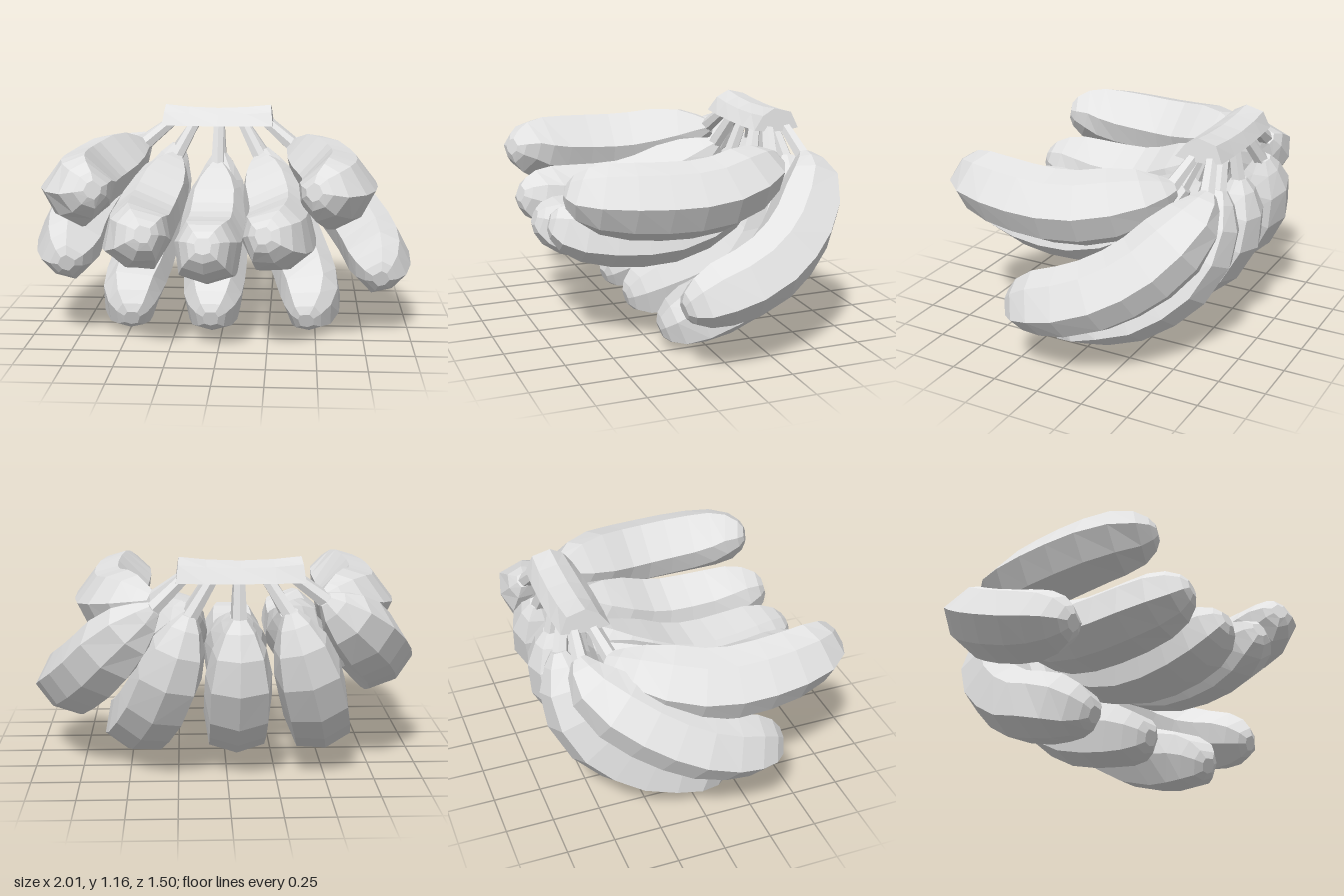
import * as THREE from 'three';

const skin = new THREE.MeshStandardMaterial({ color: 0xe2e2e2 });
skin.name = 'pale grey';

// Skin a list of rings (counter-clockwise about the travel direction) and cap both ends
function loft(rings, name) {
  const pos = [];
  const tri = (...pts) => pts.forEach((p) => pos.push(p.x, p.y, p.z));
  const n = rings[0].length;
  const middle = (r) => r.reduce((s, p) => s.add(p), new THREE.Vector3()).divideScalar(n);
  const first = rings[0], last = rings[rings.length - 1];
  const c0 = middle(first), c1 = middle(last);
  for (let j = 0; j < n; j++) {
    const k = (j + 1) % n;
    for (let i = 0; i < rings.length - 1; i++) {
      const a = rings[i], b = rings[i + 1];
      tri(a[j], a[k], b[k]);
      tri(a[j], b[k], b[j]);
    }
    tri(c0, first[k], first[j]);
    tri(c1, last[j], last[k]);
  }
  const geo = new THREE.BufferGeometry();
  geo.setAttribute('position', new THREE.Float32BufferAttribute(pos, 3));
  geo.computeVertexNormals(); // unshared corners give flat facets
  const mesh = new THREE.Mesh(geo, skin);
  mesh.name = name;
  return mesh;
}

// Fruit cross-section: flat on the inside of the bend, keeled on the outside
const SECTION = [[-0.11, 0.16], [-0.172, 0.045], [-0.145, -0.13], [0, -0.175],
  [0.145, -0.13], [0.172, 0.045], [0.11, 0.16]];
// [position along the fruit, thickness]
const TAPER = [[0, 0.22], [0.05, 0.48], [0.13, 0.78], [0.25, 0.97], [0.38, 1], [0.5, 1],
  [0.62, 1], [0.74, 0.98], [0.85, 0.91], [0.93, 0.73], [0.98, 0.47], [1, 0.24]];

function fruit(path, stemTop, rollDeg, lean, name) {
  const group = new THREE.Group();
  group.name = name;
  const curve = new THREE.CatmullRomCurve3(path.map((p) => new THREE.Vector3(...p)));
  const roll = THREE.MathUtils.degToRad(rollDeg);
  const hint = new THREE.Vector3(-Math.sin(roll), Math.cos(roll), lean);
  const rings = TAPER.map(([t, s]) => {
    const p = curve.getPointAt(t), dir = curve.getTangentAt(t);
    const up = hint.clone().addScaledVector(dir, -hint.dot(dir)).normalize();
    const side = new THREE.Vector3().crossVectors(up, dir);
    return SECTION.map(([x, y]) => p.clone().addScaledVector(side, x * s).addScaledVector(up, y * s));
  });
  group.add(loft(rings, 'fruitBody'));

  // Thin stem joining the fruit to the crown
  const from = curve.getPointAt(0.03), to = new THREE.Vector3(...stemTop);
  const axis = to.clone().sub(from);
  const stem = new THREE.Mesh(
    new THREE.CylinderGeometry(0.03, 0.042, axis.length(), 6).toNonIndexed(), skin);
  stem.geometry.computeVertexNormals();
  stem.position.copy(from).addScaledVector(axis, 0.5);
  stem.quaternion.setFromUnitVectors(new THREE.Vector3(0, 1, 0), axis.normalize());
  stem.name = 'stem';
  group.add(stem);
  return group;
}

export function createModel() {
  const model = new THREE.Group();
  model.name = 'fruitBunch';
  const CX = -0.055; // middle of the bunch

  // Front row: middle fruit, then mirrored pairs
  model.add(fruit([[CX, 0.83, -0.37], [CX, 0.66, -0.22], [CX, 0.525, 0.05], [CX, 0.505, 0.3],
    [CX, 0.55, 0.55], [CX, 0.615, 0.74]], [CX, 1.07, -0.45], 0, 0.6, 'frontMiddleFruit'));
  for (const s of [-1, 1]) {
    const side = s < 0 ? 'Right' : 'Left';
    const m = (pts) => pts.map(([x, y, z]) => [CX + s * x, y, z]);
    model.add(fruit(m([[0.24, 0.87, -0.4], [0.3, 0.74, -0.24], [0.36, 0.605, 0.05], [0.365, 0.585, 0.3],
      [0.34, 0.615, 0.55], [0.29, 0.67, 0.74]]), [CX + s * 0.13, 1.07, -0.46], s * 24, 0.6,
    'front' + side + 'InnerFruit'));
    model.add(fruit(m([[0.42, 0.93, -0.43], [0.53, 0.88, -0.29], [0.65, 0.82, 0], [0.665, 0.82, 0.28],
      [0.62, 0.845, 0.55], [0.53, 0.88, 0.72]]), [CX + s * 0.26, 1.07, -0.47], s * 46, 0.3,
    'front' + side + 'OuterFruit'));
  }

  // Back row hangs lower and bends forward
  model.add(fruit([[CX, 0.87, -0.59], [CX, 0.7, -0.585], [CX, 0.45, -0.495], [CX, 0.255, -0.25],
    [CX, 0.165, 0.03], [CX, 0.105, 0.24]], [CX, 1.07, -0.55], 0, 1, 'backMiddleFruit'));
  model.add(fruit([[-0.3, 0.91, -0.62], [-0.36, 0.72, -0.6], [-0.43, 0.47, -0.495], [-0.48, 0.27, -0.25],
    [-0.5, 0.18, 0.03], [-0.475, 0.1, 0.23]], [-0.18, 1.07, -0.55], -14, 1, 'backRightInnerFruit'));
  model.add(fruit([[0.19, 0.89, -0.59], [0.245, 0.72, -0.58], [0.335, 0.47, -0.485], [0.435, 0.27, -0.25],
    [0.475, 0.18, 0.03], [0.45, 0.1, 0.23]], [0.07, 1.07, -0.55], 18, 1, 'backLeftInnerFruit'));
  model.add(fruit([[-0.47, 0.96, -0.57], [-0.59, 0.85, -0.52], [-0.74, 0.68, -0.3], [-0.81, 0.55, -0.05],
    [-0.805, 0.48, 0.17], [-0.79, 0.43, 0.37]], [-0.3, 1.08, -0.55], -42, 0.7, 'backRightOuterFruit'));
  model.add(fruit([[0.36, 0.93, -0.61], [0.49, 0.81, -0.58], [0.67, 0.6, -0.41], [0.8, 0.455, -0.16],
    [0.83, 0.395, 0.06], [0.835, 0.34, 0.25]], [0.2, 1.08, -0.55], 38, 0.8, 'backLeftOuterFruit'));

  // Cut crown: a faceted bar that sags slightly in the middle; profile is [y, z]
  const profile = [[0.1, -0.49], [0.07, -0.42], [0.01, -0.365], [0, -0.46], [0, -0.56],
    [0.01, -0.63], [0.08, -0.59]];
  const crown = [-1, -0.55, 0, 0.55, 1].map((u) => profile.map(([y, z]) => new THREE.Vector3(
    -0.06 + u * (0.315 - y * 0.15),
    1.04 + y + 0.02 * u * u * (y / 0.1),
    -0.5 + (z + 0.5) * (1.04 - 0.09 * u * u))));
  model.add(loft(crown, 'crown'));
  return model;
}
